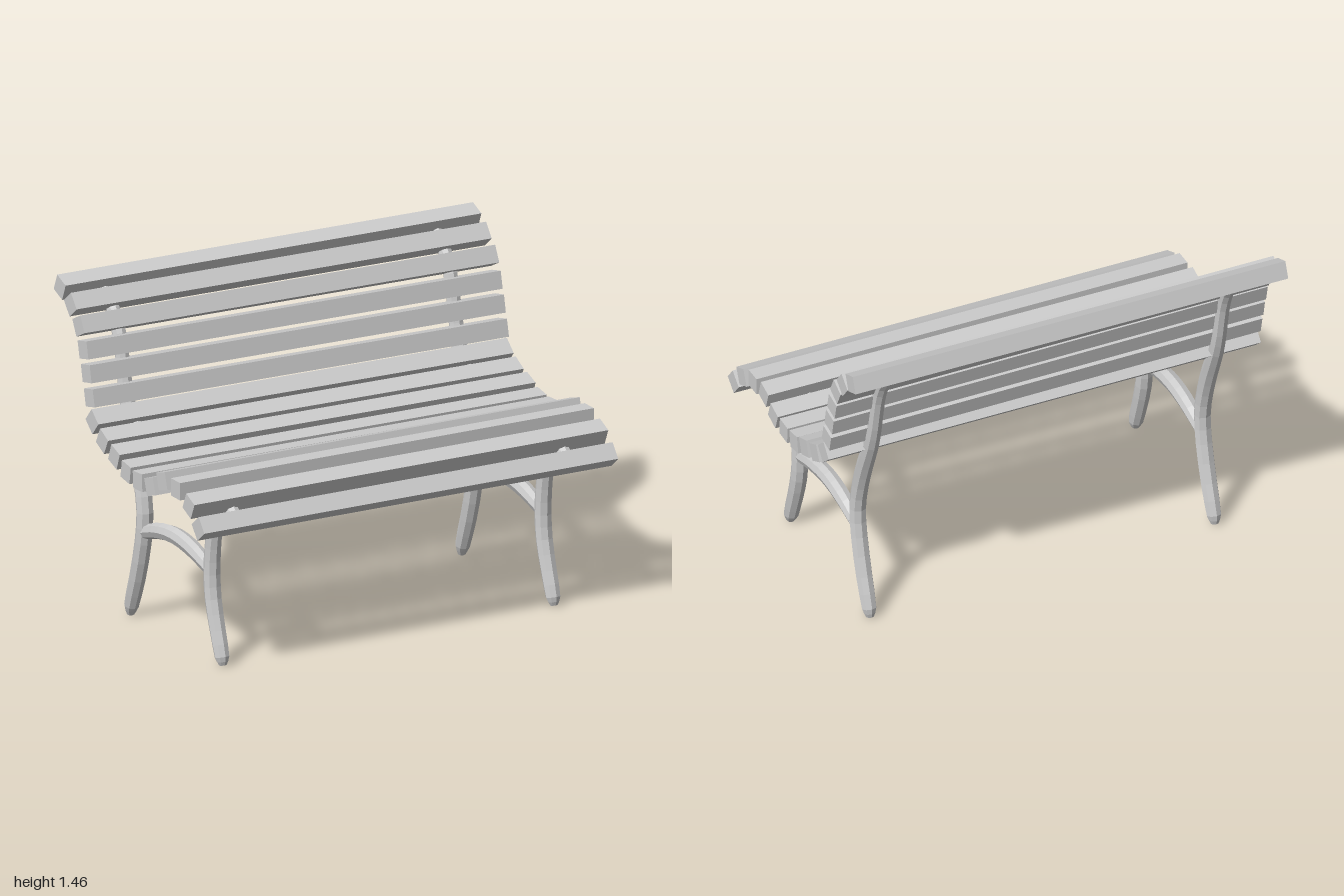
import * as THREE from 'three';

const SIDES = 8;

// Eight-sided bar swept along a curve in the z/y plane. Points: [z, y, radius].
function sweptBar(points, rings, width) {
  const path = new THREE.CatmullRomCurve3(points.map(([z, y]) => new THREE.Vector3(0, y, z)));
  const radii = new THREE.CatmullRomCurve3(points.map(([, , r], i) => new THREE.Vector3(i, r, 0)));
  const xAxis = new THREE.Vector3(1, 0, 0);
  const pos = [], index = [];
  for (let i = 0; i <= rings; i++) {
    const t = i / rings;
    const p = path.getPoint(t);
    const r = radii.getPoint(t).y;
    const n = path.getTangent(t).cross(xAxis).normalize();
    for (let j = 0; j < SIDES; j++) {
      const a = (j / SIDES) * Math.PI * 2;
      const s = Math.sin(a) * r;
      pos.push(Math.cos(a) * r * width, p.y + n.y * s, p.z + n.z * s);
    }
  }
  for (let i = 0; i < rings; i++) {
    for (let j = 0; j < SIDES; j++) {
      const k = (j + 1) % SIDES;
      const a = i * SIDES + j, b = i * SIDES + k;
      index.push(a, b, b + SIDES, a, b + SIDES, a + SIDES);
    }
  }
  // End caps
  const last = rings * SIDES;
  for (let j = 1; j < SIDES - 1; j++) {
    index.push(0, j + 1, j, last, last + j, last + j + 1);
  }
  const geo = new THREE.BufferGeometry();
  geo.setAttribute('position', new THREE.Float32BufferAttribute(pos, 3));
  geo.setIndex(index);
  const flat = geo.toNonIndexed();
  flat.computeVertexNormals();
  return flat;
}

// Square slat across the bench; its right end slides a little along the seat curve.
function slatGeometry(angle, slide) {
  const geo = new THREE.BoxGeometry(2, 0.077, 0.077);
  const pos = geo.attributes.position;
  for (let i = 0; i < pos.count; i++) {
    pos.setZ(i, pos.getZ(i) - slide * (1 - pos.getX(i)) / 2);
  }
  geo.rotateX(THREE.MathUtils.degToRad(angle));
  geo.computeVertexNormals();
  return geo;
}

// Slat centres from the front lip to the top of the back: [z, y, tilt in degrees]
const SLATS = [
  [0.588, 0.687, 51], [0.507, 0.764, 24], [0.397, 0.807, 0], [0.29, 0.811, -17],
  [0.197, 0.761, -19], [0.093, 0.75, -4], [-0.008, 0.757, 9], [-0.108, 0.792, 20],
  [-0.21, 0.83, 27], [-0.298, 0.888, 41], [-0.33, 0.981, 77], [-0.356, 1.081, 78],
  [-0.383, 1.178, 77], [-0.418, 1.274, 63], [-0.484, 1.351, 51], [-0.568, 1.409, 22],
];

// Bars of one side frame: [z, y, radius]
const FRAME = {
  frontLeg: {
    rings: 14, width: 1.05,
    points: [
      [0.447, 0.01, 0.016], [0.441, 0.045, 0.031], [0.405, 0.15, 0.034], [0.366, 0.28, 0.036],
      [0.355, 0.39, 0.036], [0.363, 0.51, 0.035], [0.387, 0.63, 0.032], [0.42, 0.745, 0.025],
    ],
  },
  backLegAndSupport: {
    rings: 24, width: 1.05,
    points: [
      [-0.335, 0.01, 0.016], [-0.327, 0.05, 0.031], [-0.277, 0.185, 0.035], [-0.228, 0.36, 0.036],
      [-0.213, 0.495, 0.036], [-0.24, 0.63, 0.036], [-0.288, 0.765, 0.036], [-0.345, 0.9, 0.034],
      [-0.382, 1.02, 0.031], [-0.414, 1.17, 0.03], [-0.452, 1.27, 0.03], [-0.52, 1.355, 0.027],
      [-0.605, 1.405, 0.018],
    ],
  },
  seatRail: {
    rings: 18, width: 1.25,
    points: [
      [0.568, 0.685, 0.022], [0.49, 0.738, 0.028], [0.39, 0.77, 0.029], [0.31, 0.772, 0.029],
      [0.2, 0.727, 0.029], [0.08, 0.701, 0.029], [-0.05, 0.725, 0.029], [-0.17, 0.775, 0.028],
      [-0.29, 0.86, 0.025],
    ],
  },
  stretcher: {
    rings: 10, width: 1,
    points: [
      [0.345, 0.405, 0.03], [0.2, 0.45, 0.036], [0.06, 0.467, 0.037],
      [-0.08, 0.45, 0.036], [-0.22, 0.405, 0.03],
    ],
  },
};

export function createModel() {
  const model = new THREE.Group();
  model.name = 'parkBench';
  const material = new THREE.MeshStandardMaterial({ color: 0xcccccc, flatShading: true });

  // Seat and back slats
  const slats = new THREE.Group();
  slats.name = 'slats';
  SLATS.forEach(([z, y, angle], i) => {
    const slide = i < 3 ? 0 : i === 3 ? 0.01 : 0.018;
    const slat = new THREE.Mesh(slatGeometry(angle, slide), material);
    slat.name = i < 10 ? `seatSlat${i + 1}` : `backSlat${i - 9}`;
    slat.position.set(0, y, z);
    slats.add(slat);
  });
  model.add(slats);

  // Matching side frames
  for (const [name, x] of [['leftFrame', 0.8], ['rightFrame', -0.8]]) {
    const frame = new THREE.Group();
    frame.name = name;
    frame.position.x = x;
    for (const [part, { points, rings, width }] of Object.entries(FRAME)) {
      const bar = new THREE.Mesh(sweptBar(points, rings, width), material);
      bar.name = part;
      frame.add(bar);
    }
    model.add(frame);
  }
  return model;
}
